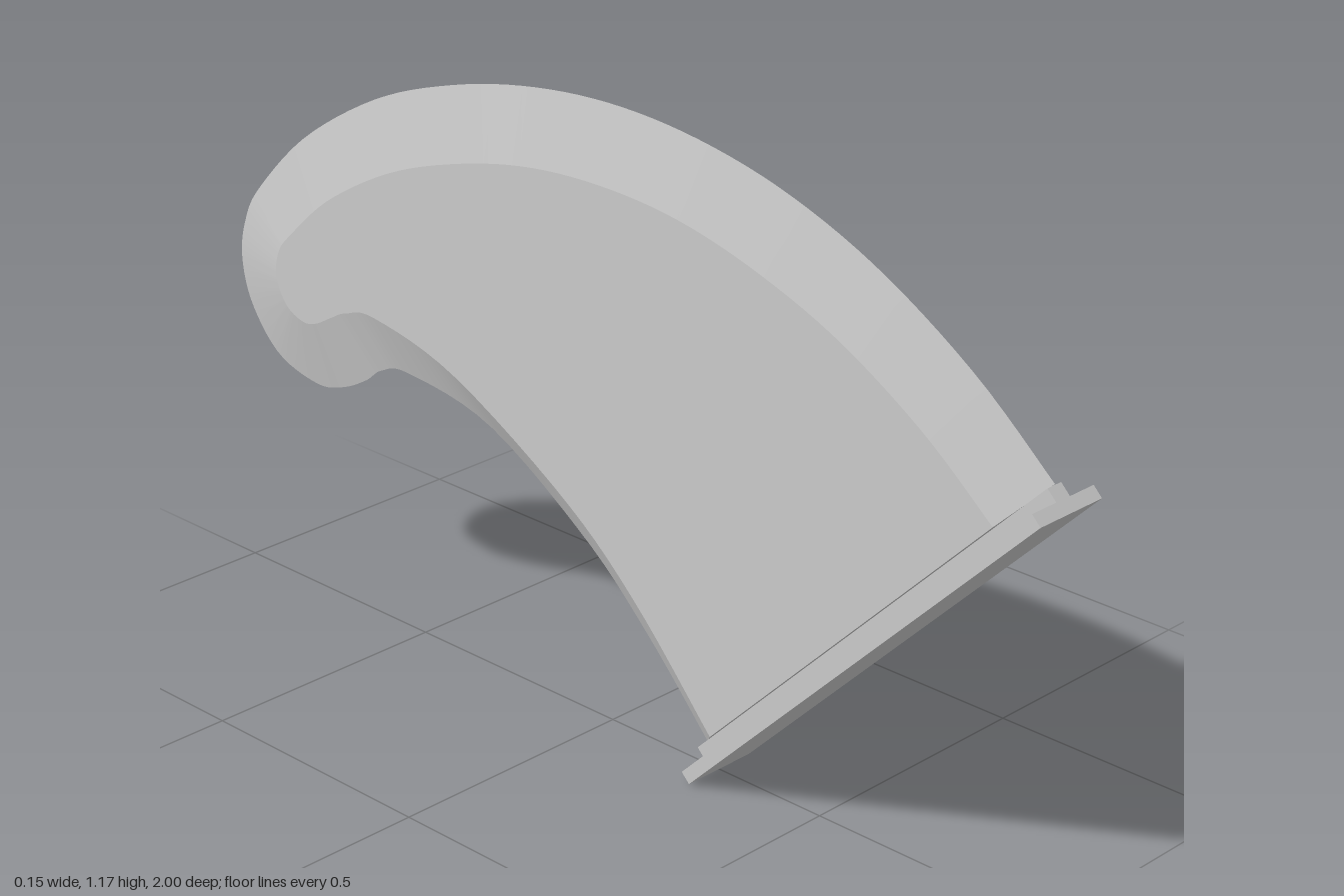
import * as THREE from 'three';
import { toCreasedNormals } from 'three/addons/utils/BufferGeometryUtils.js';

const HALF = 0.027; // half thickness of the blade core
const STEPS = 132;

// Paired outline points [z, y]: sharp outer edge and edge of the flat core
const EDGE = [
  [0.965, 0.775], [0.8, 0.91], [0.6, 1.03], [0.4, 1.11], [0.2, 1.155], [0, 1.17],
  [-0.2, 1.155], [-0.4, 1.112], [-0.6, 1.04], [-0.8, 0.92], [-0.94, 0.785],
  [-0.985, 0.71], [-1, 0.63], [-0.975, 0.54], [-0.9, 0.457], [-0.79, 0.427],
  [-0.715, 0.442], [-0.65, 0.475], [-0.605, 0.508], [-0.53, 0.524], [-0.315, 0.485],
  [-0.07, 0.34], [0.09, 0.2], [0.235, 0.045],
];
const CORE = [
  [0.868, 0.678], [0.72, 0.795], [0.54, 0.9], [0.36, 0.97], [0.18, 1.015], [0, 1.03],
  [-0.18, 1.02], [-0.36, 0.982], [-0.54, 0.92], [-0.71, 0.825], [-0.825, 0.725],
  [-0.858, 0.685], [-0.868, 0.64], [-0.855, 0.6], [-0.83, 0.573], [-0.79, 0.56],
  [-0.755, 0.568], [-0.715, 0.59], [-0.67, 0.612], [-0.59, 0.624], [-0.38, 0.572],
  [-0.1, 0.42], [0.08, 0.275], [0.265, 0.075],
];

function sample(points) {
  const curve = new THREE.SplineCurve(points.map(([z, y]) => new THREE.Vector2(z, y)));
  return curve.getPoints(STEPS);
}

// Flat core on both sides, bevelled out to a sharp rim
function bladeGeometry() {
  const edge = sample(EDGE), core = sample(CORE);
  const n = edge.length;
  const pos = [], index = [];
  const addLoop = (loop, x) => loop.forEach((p) => pos.push(x, p.y, p.x));
  addLoop(edge, 0);
  addLoop(core, -HALF);
  addLoop(core, HALF);

  const faces = THREE.ShapeUtils.triangulateShape(core, []);
  for (const side of [1, 2]) {
    const o = side * n;
    const tri = (a, b, c) => (side === 1 ? index.push(a, b, c) : index.push(a, c, b));
    for (const [a, b, c] of faces) tri(o + a, o + b, o + c);
    for (let i = 0; i < n - 1; i++) {
      tri(i, i + 1, o + i + 1);
      tri(i, o + i + 1, o + i);
    }
  }
  // Root face
  const root = [0, n, 2 * n - 1, n - 1, 3 * n - 1, 2 * n];
  for (let i = 1; i < 5; i++) index.push(root[0], root[i], root[i + 1]);

  const geometry = new THREE.BufferGeometry();
  geometry.setAttribute('position', new THREE.Float32BufferAttribute(pos, 3));
  geometry.setIndex(index);
  return toCreasedNormals(geometry, 0.17);
}

export function createModel() {
  const model = new THREE.Group();
  model.name = 'fin';
  const material = new THREE.MeshStandardMaterial({ color: 0xcccccc });
  const add = (parent, name, geometry) => {
    const mesh = new THREE.Mesh(geometry, material);
    mesh.name = name;
    parent.add(mesh);
    return mesh;
  };

  add(model, 'blade', bladeGeometry());

  // Slanted mount: wide plate with a narrow rail carrying the blade
  const mount = new THREE.Group();
  mount.name = 'mount';
  mount.position.set(0, 0.3685, 0.6315);
  mount.rotation.x = -Math.PI / 4;
  add(mount, 'basePlate', new THREE.BoxGeometry(0.154, 0.025, 1.042)).position.y = 0.0125;
  add(mount, 'rail', new THREE.BoxGeometry(0.034, 0.027, 1.042)).position.y = 0.0375;
  model.add(mount);

  return model;
}
